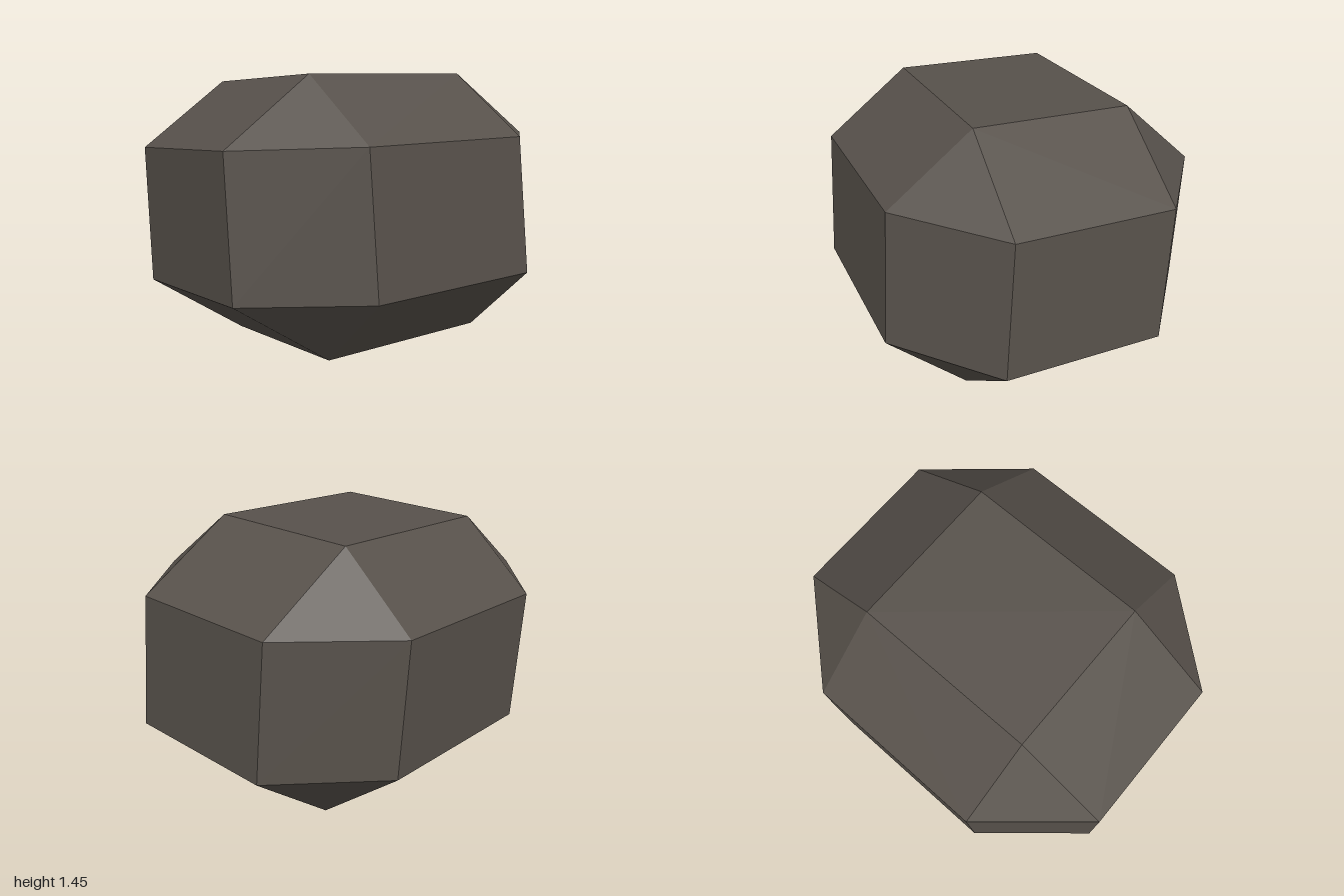
import * as THREE from 'three';
import { ConvexGeometry } from 'three/addons/geometries/ConvexGeometry.js';

const stone = new THREE.MeshStandardMaterial({ color: 0x57514b, flatShading: true });
stone.name = 'darkStone';

// Half-steps along the stone's slightly tilted width and depth
const across = new THREE.Vector3(0.49, 0.005, 0.008);
const along = new THREE.Vector3(0, 0.016, 0.42);

// Outlines in half-steps: rectangle for the caps, octagon for the girdle
const rectangle = [[1, 1], [1, -1], [-1, -1], [-1, 1]];
const octagon = rectangle.flatMap(([x, z]) => [[2 * x, z], [x, 2 * z]]);

// Levels: centre, scale and outline
const levels = [
  { centre: [-0.03, 1.425, -0.056], scale: 1, outline: rectangle },
  { centre: [-0.02, 1.085, -0.032], scale: 1, outline: octagon },
  { centre: [-0.004, 0.38, 0.015], scale: 1.014, outline: octagon },
  { centre: [0.02, 0.022, 0.03], scale: 1.014, outline: rectangle },
];

export function createModel() {
  const points = levels.flatMap(({ centre, scale, outline }) =>
    outline.map(([x, z]) => new THREE.Vector3(...centre)
      .addScaledVector(across, x * scale)
      .addScaledVector(along, z * scale)));

  // Faceted stone body
  const body = new THREE.Mesh(new ConvexGeometry(points), stone);
  body.name = 'facetedStone';

  const group = new THREE.Group();
  group.name = 'stone';
  group.add(body);
  return group;
}
